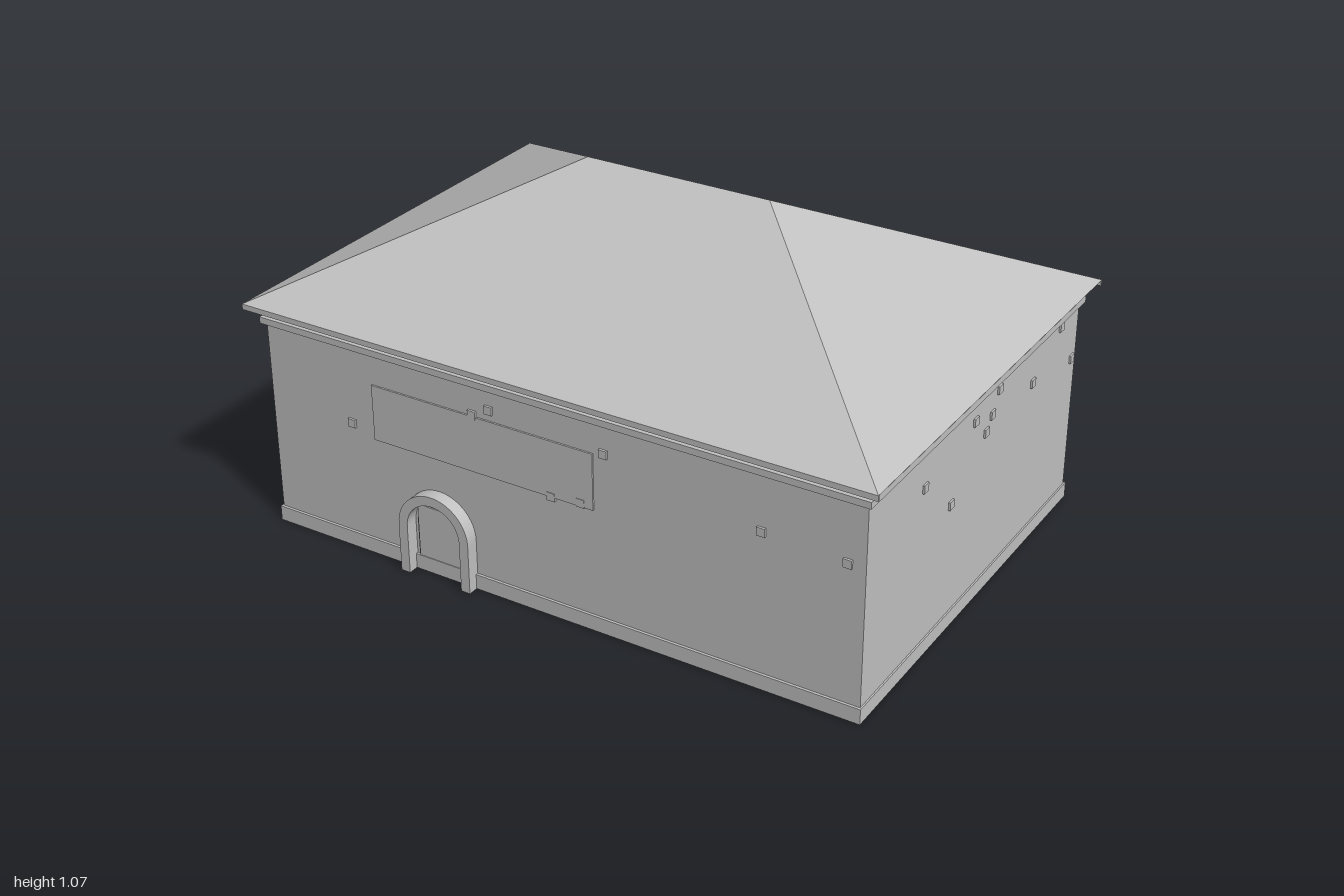
import * as THREE from 'three';

export function createModel() {
  const model = new THREE.Group();
  const stone = new THREE.MeshStandardMaterial({ color: 0xc0c0c0 });
  stone.name = 'plain grey';

  const add = (name, geometry, parent = model) => {
    const mesh = new THREE.Mesh(geometry, stone);
    mesh.name = name;
    parent.add(mesh);
    return mesh;
  };
  // Box given by its limits on each axis
  const box = (name, [x0, x1], [y0, y1], [z0, z1], parent) => {
    const mesh = add(name, new THREE.BoxGeometry(x1 - x0, y1 - y0, z1 - z0), parent);
    mesh.position.set((x0 + x1) / 2, (y0 + y1) / 2, (z0 + z1) / 2);
    return mesh;
  };

  // Main body
  box('walls', [-0.955, 0.955], [0.01, 0.715], [-0.66, 0.66]);
  box('plinth', [-0.96, 0.96], [0, 0.047], [-0.668, 0.668]);
  box('cornice', [-0.968, 0.968], [0.65, 0.67], [-0.675, 0.675]);

  // Hipped roof with a flat soffit
  const eave = 0.715, top = 1.065, ridge = 0.295, depth = 0.706;
  const a = [-1, eave, depth], b = [1, eave, depth], c = [1, eave, -depth], d = [-1, eave, -depth];
  const l = [-ridge, top, 0], r = [ridge, top, 0];
  const faces = [a, b, r, a, r, l, b, c, r, c, d, l, c, l, r, d, a, l, a, d, c, a, c, b];
  const roof = new THREE.BufferGeometry();
  roof.setAttribute('position', new THREE.Float32BufferAttribute(faces.flat(), 3));
  roof.computeVertexNormals();
  add('roof', roof);

  // Boards hanging below the front and back eaves
  for (const s of [-1, 1]) {
    box('eaveBoard', [-1, 1], [0.698, eave], [s * 0.703 - 0.003, s * 0.703 + 0.003]);
  }

  // Arched door surround
  const doorX = -0.37, spring = 0.155;
  const archShape = (radius, bottom) => {
    const shape = new THREE.Shape();
    shape.moveTo(-radius, bottom);
    shape.lineTo(radius, bottom);
    shape.lineTo(radius, spring);
    shape.absarc(0, spring, radius, 0, Math.PI, false);
    shape.closePath();
    return shape;
  };
  const surround = new THREE.Shape();
  surround.moveTo(0.12, 0);
  surround.lineTo(0.12, spring);
  surround.absarc(0, spring, 0.12, 0, Math.PI, false);
  surround.lineTo(-0.12, 0);
  surround.lineTo(-0.09, 0);
  surround.lineTo(-0.09, spring);
  surround.absarc(0, spring, 0.09, Math.PI, 0, true);
  surround.lineTo(0.09, 0);
  surround.closePath();
  const extrude = (shape, thickness) =>
    new THREE.ExtrudeGeometry(shape, { depth: thickness, bevelEnabled: false, curveSegments: 16 });
  add('doorSurround', extrude(surround, 0.045)).position.set(doorX, 0, 0.655);
  add('doorFrame', extrude(archShape(0.08, 0.047), 0.005)).position.set(doorX, 0, 0.658);
  box('door', [-0.446, -0.292], [0.047, 0.215], [0.66, 0.666]);

  // Blank panel above the door
  box('wallPanel', [-0.586, 0.147], [0.38, 0.553], [0.659, 0.665]);

  // Small blocks standing out of the walls; opposite walls repeat half a turn round
  const longBlocks = [[-0.665, 0.41], [-0.243, 0.558], [-0.187, 0.587], [0.18, 0.562],
    [0.012, 0.381], [0.107, 0.391], [0.657, 0.48], [0.904, 0.468]];
  const sideBlocks = [[0.34, 0.538], [0.17, 0.4], [0.04, 0.59], [-0.035, 0.522], [-0.07, 0.56],
    [-0.11, 0.62], [-0.345, 0.532], [-0.53, 0.627], [-0.63, 0.483]];
  const h = 0.0125;
  for (const turn of [0, Math.PI]) {
    const blocks = new THREE.Group();
    blocks.name = 'wallBlocks';
    blocks.rotation.y = turn;
    for (const [x, y] of longBlocks) {
      box('block', [x - h, x + h], [y - h, y + h], [0.655, 0.667], blocks);
    }
    for (const [z, y] of sideBlocks) {
      box('block', [0.95, 0.961], [y - h, y + h], [z - h, z + h], blocks);
    }
    model.add(blocks);
  }
  return model;
}
